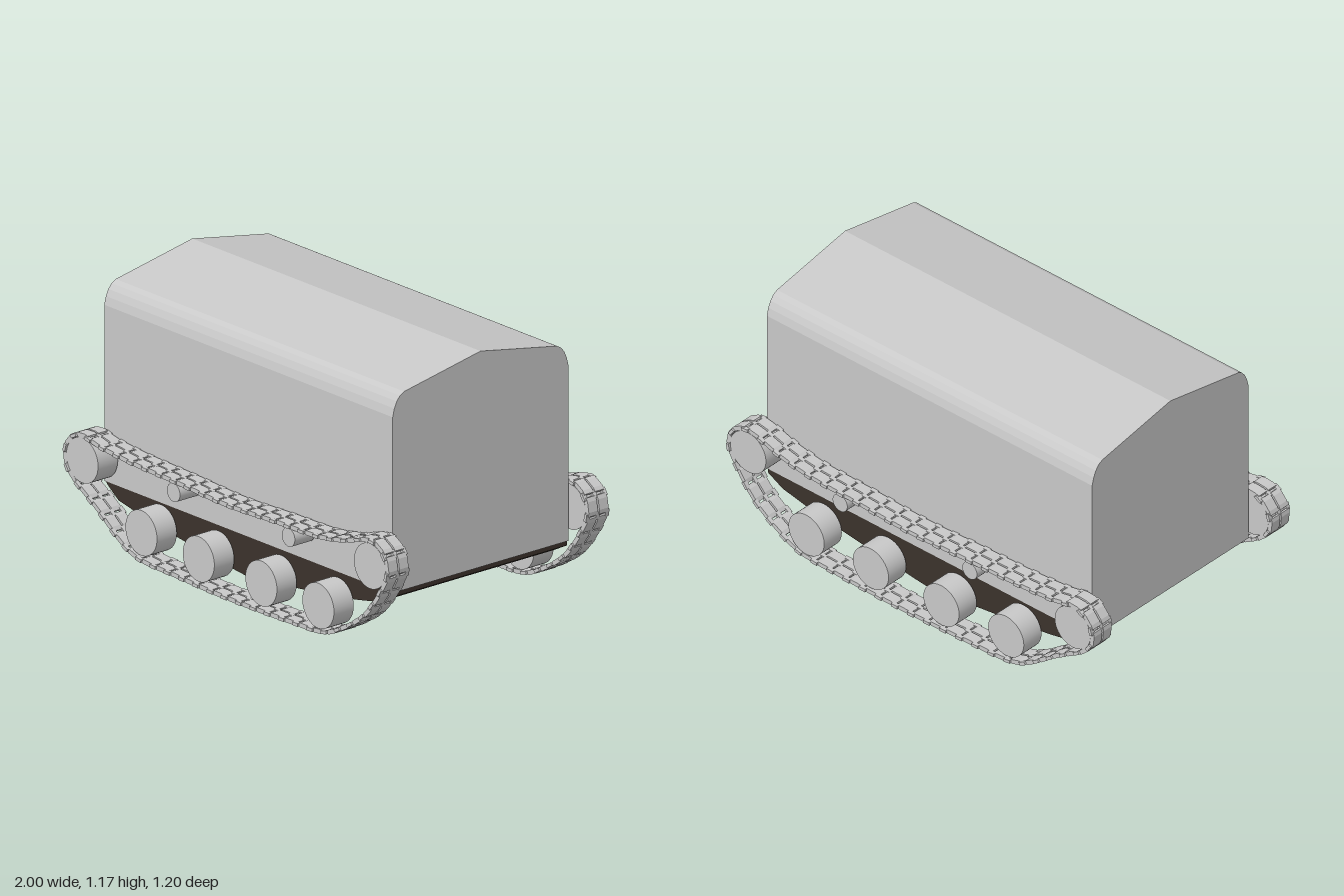
import * as THREE from 'three';
import { mergeGeometries } from 'three/addons/utils/BufferGeometryUtils.js';

const TRACK_Z = 0.536; // centre line of each track

function polygon(points) {
  return new THREE.Shape(points.map(([x, y]) => new THREE.Vector2(x, y)));
}

// Prism with an x-y outline, running along z from z0 to z1
function prism(points, z0, z1) {
  const geometry = new THREE.ExtrudeGeometry(polygon(points), { depth: z1 - z0, bevelEnabled: false });
  return geometry.translate(0, 0, z0);
}

// Closed centre line of the track belt
function beltCurve() {
  const arc = (cx, cy, r, degrees) => degrees.map((d) => {
    const a = THREE.MathUtils.degToRad(d);
    return [cx + r * Math.cos(a), cy + r * Math.sin(a)];
  });
  const points = [
    ...arc(-0.885, 0.36, 0.106, [235, 205, 180, 150, 120, 92]),
    [-0.78, 0.447], [-0.6, 0.432], [-0.3, 0.422], [0, 0.41], [0.3, 0.42], [0.56, 0.428], [0.7, 0.45],
    ...arc(0.88, 0.39, 0.106, [105, 80, 50, 20, -10, -35]),
    [0.85, 0.172], [0.7, 0.07], [0.6, 0.028], [0.4, 0.016], [0, 0.011], [-0.3, 0.02],
    [-0.55, 0.034], [-0.64, 0.07], [-0.8, 0.18],
  ];
  return new THREE.CatmullRomCurve3(
    points.map(([x, y]) => new THREE.Vector3(x, y, 0)), true, 'centripetal');
}

// Belt made of paired tapered pads joined by small connectors
function beltGeometry() {
  const curve = beltCurve();
  curve.arcLengthDivisions = 800;
  const count = 50;
  const half = curve.getLength() / count / 2;
  const padOutline = [
    [-half + 0.004, -0.004], [-0.022, -0.0095], [0.022, -0.0095], [half - 0.004, -0.004],
    [half - 0.004, 0.004], [0.022, 0.0095], [-0.022, 0.0095], [-half + 0.004, 0.004],
  ];
  const pads = [prism(padOutline, -0.053, -0.004), prism(padOutline, 0.004, 0.053)];
  const connectors = [-0.052, 0, 0.052].map((z) =>
    new THREE.BoxGeometry(0.034, 0.014, 0.019).toNonIndexed().translate(0, 0, z));

  const place = (geometry, u) => {
    const p = curve.getPointAt(u % 1);
    const t = curve.getTangentAt(u % 1);
    return geometry.clone().rotateZ(Math.atan2(t.y, t.x)).translate(p.x, p.y, 0);
  };
  const parts = [];
  for (let i = 0; i < count; i++) {
    for (const pad of pads) parts.push(place(pad, i / count));
    for (const link of connectors) parts.push(place(link, (i + 0.5) / count));
  }
  return mergeGeometries(parts);
}

export function createModel() {
  const model = new THREE.Group();
  model.name = 'trackedCarrier';
  const grey = new THREE.MeshStandardMaterial({ color: 0xc8c8c8 });
  grey.name = 'light grey';
  const brown = new THREE.MeshStandardMaterial({ color: 0x3b322b });
  brown.name = 'dark brown';

  const add = (parent, name, geometry, material) => {
    const mesh = new THREE.Mesh(geometry, material);
    mesh.name = name;
    parent.add(mesh);
    return mesh;
  };

  // Tall body with rounded shoulders and a shallow gabled roof
  const side = [[0.471, 0.245], [0.471, 1.0], [0.462, 1.035], [0.449, 1.063], [0.432, 1.084], [0.41, 1.096]];
  const mirrored = side.map(([z, y]) => [-z, y]).reverse();
  const body = prism([...side, [0, 1.172], ...mirrored], -0.885, 0.885).rotateY(Math.PI / 2);
  add(model, 'body', body, grey);

  // Boat-shaped belly under the body
  add(model, 'belly', prism([
    [-0.88, 0.245], [-0.865, 0.23], [-0.8, 0.183], [-0.65, 0.153], [-0.4, 0.118], [-0.08, 0.079], [0, 0.071],
    [0.08, 0.079], [0.4, 0.118], [0.65, 0.153], [0.8, 0.183], [0.88, 0.225], [0.88, 0.245],
  ], -0.469, 0.469), brown);

  // Running gear: name, x, y, radius
  const wheels = [
    ['rearEndWheel', -0.885, 0.36, 0.097], ['frontEndWheel', 0.88, 0.388, 0.097],
    ['roadWheel', -0.523, 0.147, 0.097], ['roadWheel', -0.171, 0.131, 0.097],
    ['roadWheel', 0.213, 0.131, 0.097], ['roadWheel', 0.563, 0.131, 0.097],
    ['returnRoller', -0.325, 0.375, 0.04], ['returnRoller', 0.38, 0.375, 0.04],
  ];
  const belt = beltGeometry();
  for (const [name, sign] of [['frontTrack', 1], ['backTrack', -1]]) {
    const track = new THREE.Group();
    track.name = name;
    track.position.z = sign * TRACK_Z;
    add(track, 'trackBelt', belt, grey);
    for (const [wheelName, x, y, r] of wheels) {
      const geometry = new THREE.CylinderGeometry(r, r, 0.106, 40).rotateX(Math.PI / 2);
      add(track, wheelName, geometry, grey).position.set(x, y, 0);
    }
    model.add(track);
  }
  return model;
}
